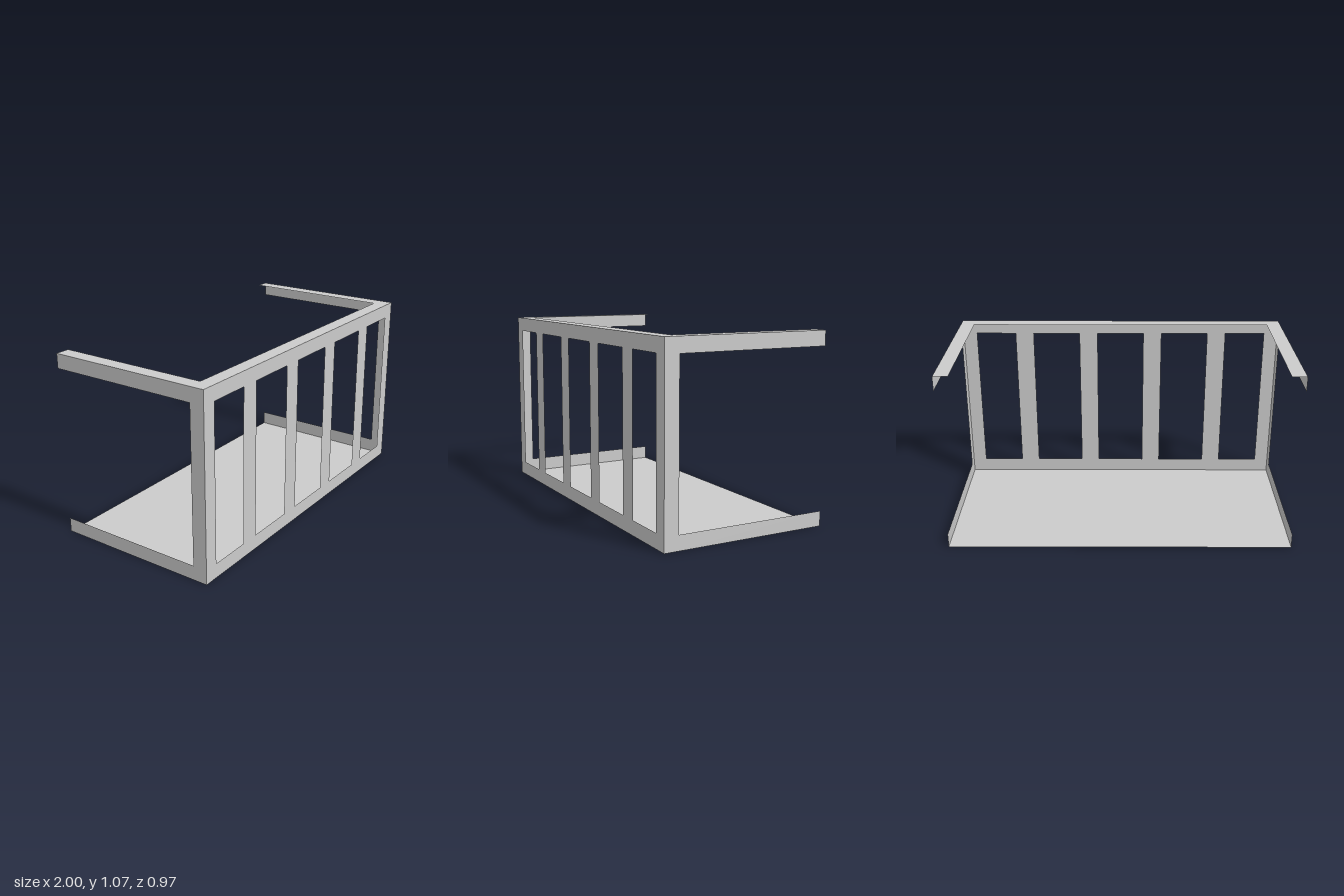
import * as THREE from 'three';

const W = 1, H = 1.066, D = 0.487;   // half width, height, half depth
const B = 0.084;                     // width of the frame bands

const material = new THREE.MeshStandardMaterial({
  color: 0xcccccc, flatShading: true, side: THREE.DoubleSide,
});

const toPoints = (pairs) => pairs.map(([x, y]) => new THREE.Vector2(x, y));
const rect = (x0, y0, x1, y1) => toPoints([[x0, y0], [x1, y0], [x1, y1], [x0, y1]]);

// Thin flat sheet cut from an outline with optional openings
function sheet(name, outline, holes = []) {
  const shape = new THREE.Shape(outline);
  shape.holes = holes.map((h) => new THREE.Path(h));
  const mesh = new THREE.Mesh(new THREE.ShapeGeometry(shape), material);
  mesh.name = name;
  return mesh;
}

export function createModel() {
  const group = new THREE.Group();
  group.name = 'slattedRack';

  // Front frame with four upright slats between five openings
  const slatWidth = 0.115;
  const edges = [-W + B];
  for (const c of [-0.612, -0.204, 0.204, 0.612]) edges.push(c - slatWidth / 2, c + slatWidth / 2);
  edges.push(W - B);
  const openings = [];
  for (let i = 0; i < edges.length; i += 2) openings.push(rect(edges[i], B, edges[i + 1], H - B));
  const front = sheet('frontSlattedFrame', rect(-W, 0, W, H), openings);
  front.position.z = D;
  group.add(front);

  // C-shaped side frames, open to the back
  for (const s of [1, -1]) {
    const outline = [[D, 0], [D, H], [-D, H], [-D, H - B], [D - B, H - B], [D - B, B], [-D, B], [-D, 0]];
    const side = sheet(s > 0 ? 'leftSideFrame' : 'rightSideFrame',
      toPoints(outline.map(([z, y]) => [-s * z, y])));
    side.rotation.y = s * Math.PI / 2;
    side.position.x = s * W;
    group.add(side);
  }

  // U-shaped top rim, open to the back
  const rim = sheet('topRim', toPoints([
    [-W, -D], [W, -D], [W, D], [W - B, D], [W - B, -D + B], [-W + B, -D + B], [-W + B, D], [-W, D],
  ]));
  rim.rotation.x = -Math.PI / 2;
  rim.position.y = H;
  group.add(rim);

  // Solid floor
  const floor = sheet('floorPanel', rect(-W, -D, W, D));
  floor.rotation.x = Math.PI / 2;
  group.add(floor);

  return group;
}
